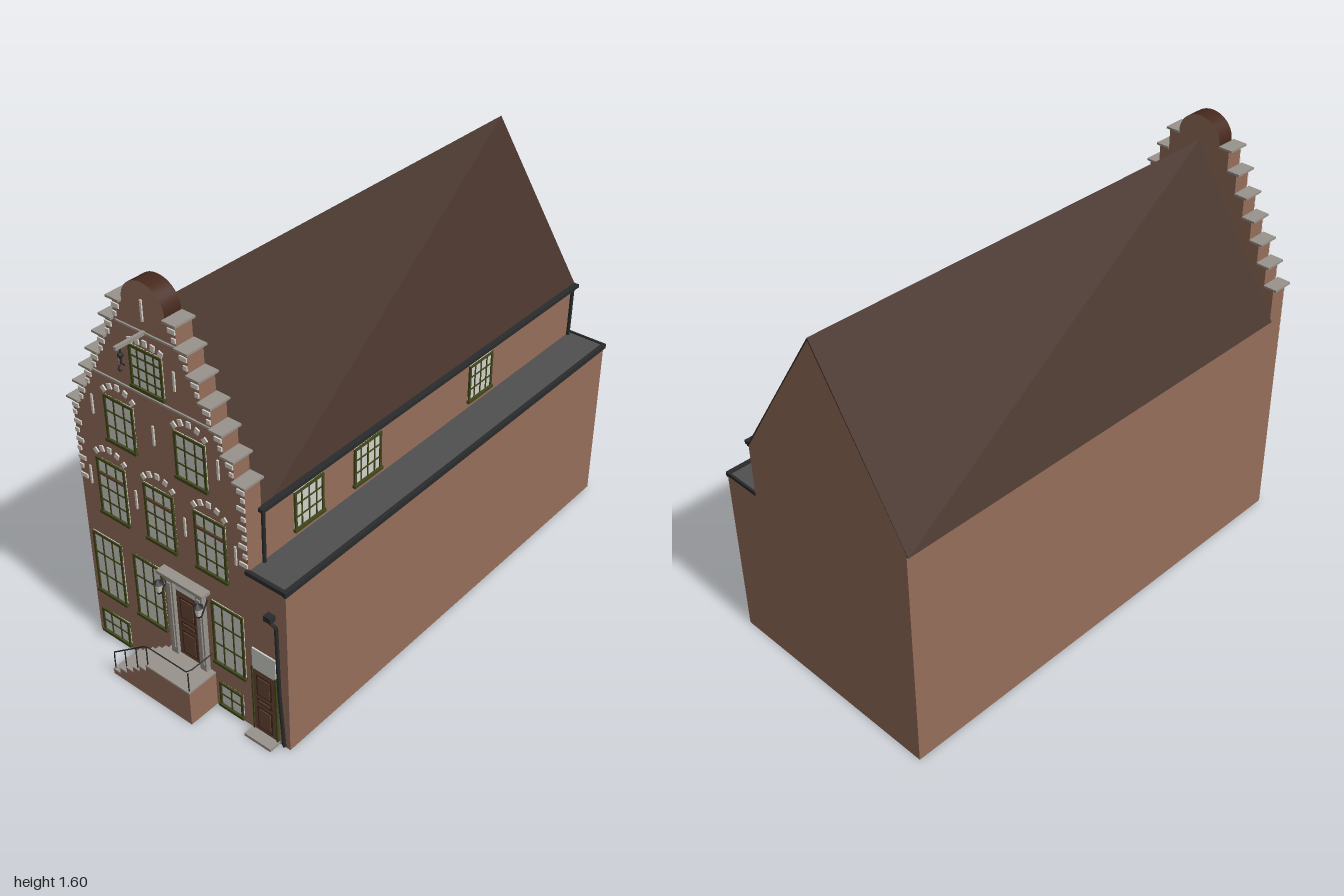
import * as THREE from 'three';

const mat = (name, color, side = THREE.FrontSide) => {
  const m = new THREE.MeshStandardMaterial({ color, side });
  m.name = name;
  return m;
};
const brick = mat('brick', 0x966e5a);
const tile = mat('roof tile', 0x432f25);
const glass = mat('glass', 0xd0d0cb);
const olive = mat('olive frame', 0x42481c);
const stone = mat('stone', 0x98938c);
const iron = mat('iron', 0x2a2b2c);
const lead = mat('lead roof', 0x505051);
const wood = mat('door wood', 0x664636);
const pale = mat('pale block', 0xd8d3cb);
const coping = mat('dark coping', 0x46291d);

const CX = -0.075, FRONT = 0.87, L = -0.46, R = 0.31, AX = 0.465;

export function createModel() {
  const root = new THREE.Group();
  root.name = 'steppedGableHouse';

  const group = (name) => {
    const g = new THREE.Group();
    g.name = name;
    root.add(g);
    return g;
  };
  const mesh = (name, geo, m, parent = root) => {
    const o = new THREE.Mesh(geo, m);
    o.name = name;
    parent.add(o);
    return o;
  };
  // box from its limits
  const box = (name, m, x0, x1, y0, y1, z0, z1, parent = root) => {
    const o = mesh(name, new THREE.BoxGeometry(x1 - x0, y1 - y0, z1 - z0), m, parent);
    o.position.set((x0 + x1) / 2, (y0 + y1) / 2, (z0 + z1) / 2);
    return o;
  };
  const slab = (name, points, z0, z1, m) => {
    const s = points instanceof THREE.Shape ? points : new THREE.Shape(points.map((p) => new THREE.Vector2(...p)));
    const o = mesh(name, new THREE.ExtrudeGeometry(s, { depth: z1 - z0, bevelEnabled: false, curveSegments: 20 }), m);
    o.position.z = z0;
    return o;
  };
  const tube = (name, pts, r, m = iron, parent = root) => {
    const path = new THREE.CurvePath();
    const v = pts.map((p) => new THREE.Vector3(...p));
    for (let i = 1; i < v.length; i++) path.add(new THREE.LineCurve3(v[i - 1], v[i]));
    return mesh(name, new THREE.TubeGeometry(path, (v.length - 1) * 6, r, 6), m, parent);
  };

  // hollow walls and raised floor
  box('leftSideWall', brick, L, L + 0.01, 0, 0.91, -1, FRONT);
  box('innerSideWall', brick, R - 0.01, R, 0, 0.91, -1, FRONT);
  box('annexSideWall', brick, AX - 0.01, AX, 0, 0.69, -1, FRONT);
  box('crossWall', brick, L + 0.01, AX - 0.01, 0, 0.6, 0.37, 0.38);
  box('floor', iron, L + 0.01, R - 0.01, 0.12, 0.13, -0.99, FRONT - 0.01);
  box('lowerFrontWall', brick, L, AX, 0, 0.69, FRONT - 0.01, FRONT);
  slab('backWall', [[L, 0], [AX, 0], [AX, 0.69], [R, 0.69], [R, 0.91], [CX, 1.495], [L, 0.91]], -1, -0.99, brick);

  // roofs
  slab('pitchedRoof', [[-0.468, 0.9], [-0.455, 0.9], [CX, 1.482], [0.305, 0.9], [0.32, 0.9], [CX, 1.505]], -1, 0.8, tile);
  box('annexRoof', lead, R, AX, 0.685, 0.698, -1, FRONT);
  box('annexGutterSide', iron, AX - 0.006, 0.475, 0.685, 0.704, -1, 0.88);
  box('annexGutterFront', iron, 0.302, 0.475, 0.688, 0.704, 0.866, 0.88);
  box('annexGutterBack', iron, R, 0.475, 0.688, 0.704, -1, -0.992);
  box('eavesGutter', iron, 0.308, 0.33, 0.904, 0.918, -1, 0.815);

  // stepped gable
  const STEPS = 7, half = (i) => 0.385 - i * 0.0417, top = (i) => 1.03 + i * 0.0787;
  const right = [], n = 0.69;
  for (let i = 0; i < STEPS; i++) right.push([half(i), i ? top(i - 1) : n], [half(i), top(i)]);
  const left = right.map(([x, y]) => [-x, y]).reverse();
  slab('steppedGable', [...right, ...left].map(([x, y]) => [CX + x, y]), 0.8, FRONT, brick);
  const dome = new THREE.Shape();
  dome.moveTo(CX - 0.092, 1.49);
  dome.lineTo(CX + 0.092, 1.49);
  dome.lineTo(CX + 0.092, 1.515);
  dome.absellipse(CX, 1.515, 0.092, 0.085, 0, Math.PI, false);
  slab('roundTop', dome, 0.8, FRONT, [brick, coping]);

  const caps = group('gableCaps'), quoins = group('quoins');
  for (const s of [-1, 1]) {
    const block = (edge, w, y) => {
      const a = CX + s * edge, b = CX + s * (edge - w);
      box('quoin', pale, Math.min(a, b), Math.max(a, b), y, y + 0.016, FRONT, FRONT + 0.005, quoins);
    };
    for (let i = 0; i < STEPS; i++) {
      const a = CX + s * (half(i) + 0.014), b = CX + s * (i < 6 ? half(i + 1) : 0.092);
      box('cap', stone, Math.min(a, b), Math.max(a, b), top(i), top(i) + 0.008, 0.797, 0.884, caps);
      block(half(i), 0.03, top(i) - 0.032);
      block(half(i), 0.016, top(i) - 0.062);
    }
    for (let i = 0; i < 7; i++) block(half(0), i % 2 ? 0.018 : 0.034, 0.71 + i * 0.037);
  }
  box('upperCourse', stone, -0.2, 0.06, 1.422, 1.429, FRONT, 0.876);
  box('middleCourse', stone, -0.375, 0.225, 1.187, 1.194, FRONT, 0.876);

  // wall anchors: x, bottom, top
  const anchors = group('wallAnchors');
  const anchor = (xs, y0, y1) => xs.forEach((x) => box('anchor', pale, x - 0.004, x + 0.004, y0, y1, FRONT, 0.875, anchors));
  anchor([-0.408, -0.188, 0.037, 0.26], 0.7, 0.775);
  anchor([-0.358, CX, 0.205], 1.01, 1.085);
  anchor([-0.197, 0.04], 1.265, 1.335);
  anchor([CX - 0.003], 1.465, 1.54);

  // window in the local xy plane, facing +z
  const windowUnit = (name, w, h, cols, rows) => {
    const g = group(name), b = 0.009;
    box('panes', glass, -w / 2, w / 2, 0, h, 0, 0.003, g);
    for (const s of [-1, 1]) {
      const x = s * (w / 2 - b / 2);
      box('frameSide', olive, x - b / 2, x + b / 2, 0, h, 0, 0.008, g);
    }
    box('frameTop', olive, -w / 2, w / 2, h - b, h, 0, 0.008, g);
    box('sill', olive, -w / 2 - 0.004, w / 2 + 0.004, -0.003, b, 0, 0.012, g);
    for (let i = 1; i < cols; i++) {
      const x = -w / 2 + (w * i) / cols;
      box('upright', olive, x - 0.0025, x + 0.0025, 0, h, 0, 0.006, g);
    }
    for (let i = 1; i < rows; i++) {
      const y = (h * i) / rows;
      box('glazingBar', olive, -w / 2, w / 2, y - 0.0025, y + 0.0025, 0, 0.006, g);
    }
    return g;
  };
  const front = (name, xs, y, w, h, cols, rows) =>
    xs.forEach((x) => windowUnit(name, w, h, cols, rows).position.set(x, y, FRONT));
  front('basementWindow', [-0.365], 0.015, 0.14, 0.11, 3, 2);
  front('basementWindow', [0.205], 0.015, 0.108, 0.108, 2, 2);
  front('groundWindow', [-0.363, -0.162, 0.207], 0.21, 0.142, 0.275, 3, 3);
  front('firstFloorWindow', [-0.3, -0.0765, 0.152], 0.6, 0.137, 0.235, 3, 4);
  front('secondFloorWindow', [-0.228, 0.088], 0.935, 0.135, 0.18, 3, 3);
  front('atticWindow', [-0.0785], 1.208, 0.143, 0.155, 4, 4);
  for (const x of [-0.3, -0.0765, 0.152]) box('transom', wood, x - 0.062, x + 0.062, 0.767, 0.778, FRONT, 0.8785);
  for (const z of [0.58, 0.28, -0.373]) {
    const w = windowUnit('sideWindow', 0.143, 0.155, 4, 3);
    w.position.set(R, 0.725, z);
    w.rotation.y = Math.PI / 2;
  }

  // fans of pale blocks over the windows
  const arches = group('archBlocks');
  const arch = (x, crown, r, spread) => {
    for (let i = -2; i <= 2; i++) {
      const a = (i / 2) * spread;
      const o = box('archBlock', pale, -0.009, 0.009, -0.011, 0.011, 0, 0.005, arches);
      o.position.set(x + r * Math.sin(a), crown - r + r * Math.cos(a), FRONT + 0.0025);
      o.rotation.z = -a;
    }
  };
  for (const x of [-0.3, -0.0765, 0.152]) arch(x, 0.885, 0.092, 0.8);
  for (const x of [-0.228, 0.088]) arch(x, 1.162, 0.092, 0.8);
  arch(-0.0785, 1.386, 0.2, 0.34);

  // doors with moulded panels
  const door = (name, x0, x1, y0, y1, yTop) => {
    const g = group(name), h = y1 - y0;
    box('leaf', wood, x0, x1, y0, y1, FRONT, 0.876, g);
    box('fanlight', glass, x0, x1, y1, yTop, FRONT, 0.876, g);
    for (const [a, b] of [[0.06, 0.42], [0.47, 0.56], [0.61, 0.94]]) {
      box('moulding', coping, x0 + 0.018, x1 - 0.018, y0 + a * h, y0 + b * h, 0.876, 0.879, g);
      box('panel', wood, x0 + 0.026, x1 - 0.026, y0 + a * h + 0.008, y0 + b * h - 0.008, 0.879, 0.882, g);
    }
    return g;
  };
  door('mainDoor', -0.03, 0.077, 0.15, 0.437, 0.487);
  const side = door('annexDoor', 0.312, 0.415, 0.012, 0.29, 0.38);
  for (const x of [0.308, 0.412]) box('doorPost', olive, x, x + 0.006, 0.012, 0.3, FRONT, 0.88, side);
  box('annexDoorStep', stone, 0.302, 0.42, 0, 0.012, FRONT, 0.92);

  // main door surround
  const surround = group('doorSurround');
  for (const x of [-0.045, 0.092]) {
    box('pilaster', stone, x - 0.015, x + 0.015, 0.15, 0.49, FRONT, 0.89, surround);
    box('pilasterFace', stone, x - 0.008, x + 0.008, 0.18, 0.47, 0.89, 0.895, surround);
  }
  box('lintel', stone, -0.065, 0.112, 0.485, 0.502, FRONT, 0.895, surround);
  box('cornice', stone, -0.083, 0.13, 0.502, 0.515, FRONT, 0.91, surround);

  // stoop, stairs and railing
  const stoop = group('stoop');
  box('landing', brick, -0.08, 0.13, 0, 0.143, FRONT, 0.998, stoop);
  box('landingTop', stone, -0.08, 0.13, 0.143, 0.15, FRONT, 1, stoop);
  for (let i = 0; i < 5; i++) {
    const x = -0.255 + i * 0.035, y = 0.025 * (i + 1);
    box('step', brick, x, x + 0.035, 0, y - 0.005, FRONT, 0.998, stoop);
    box('tread', stone, x, x + 0.035, y - 0.005, y, FRONT, 1, stoop);
  }
  tube('handrail', [[-0.25, 0.025, 0.992], [-0.25, 0.1, 0.992], [-0.075, 0.235, 0.992], [0.124, 0.235, 0.992], [0.124, 0.235, FRONT]], 0.0025, iron, stoop);
  for (const [x, y, t] of [[-0.19, 0.05, 0.146], [-0.13, 0.1, 0.192], [-0.075, 0.15, 0.235], [0.124, 0.15, 0.235]])
    tube('railPost', [[x, y, 0.992], [x, t, 0.992]], 0.0025, iron, stoop);

  // wall lanterns
  for (const x of [-0.07, 0.115]) {
    const g = group('lantern');
    g.position.set(x, 0.45, 0.915);
    mesh('lanternGlass', new THREE.CylinderGeometry(0.016, 0.009, 0.036, 6), pale, g);
    mesh('lanternCap', new THREE.ConeGeometry(0.02, 0.018, 6), iron, g).position.y = 0.027;
    mesh('lanternBase', new THREE.CylinderGeometry(0.01, 0.006, 0.01, 6), iron, g).position.y = -0.022;
    tube('bracket', [[0, -0.026, 0], [0, -0.034, -0.012], [0, 0.02, -0.045]], 0.003, iron, g);
  }

  // drainpipes
  tube('frontPipe', [[0.405, 0.57, 0.883], [0.408, 0.548, 0.883], [0.432, 0.54, 0.883], [0.436, 0.25, 0.883], [0.45, 0.02, 0.883]], 0.007);
  box('pipeHopper', iron, 0.389, 0.419, 0.555, 0.577, FRONT, 0.895);
  for (const z of [0.803, -0.972]) tube('upperPipe', [[0.32, 0.91, z], [0.318, 0.7, z]], 0.007);

  // hoisting beam with chain and hook
  const hoist = group('hoist');
  box('beam', stone, CX - 0.009, CX + 0.003, 1.42, 1.432, FRONT, 0.99, hoist);
  tube('chain', [[CX - 0.003, 1.42, 0.97], [CX - 0.003, 1.365, 0.97]], 0.004, iron, hoist);
  mesh('pulley', new THREE.SphereGeometry(0.01, 8, 6), iron, hoist).position.set(CX - 0.003, 1.395, 0.97);
  const hook = mesh('hook', new THREE.TorusGeometry(0.011, 0.003, 6, 12, 4.7), iron, hoist);
  hook.position.set(CX - 0.003, 1.352, 0.97);
  hook.rotation.set(0, Math.PI / 2, 0);

  return root;
}
